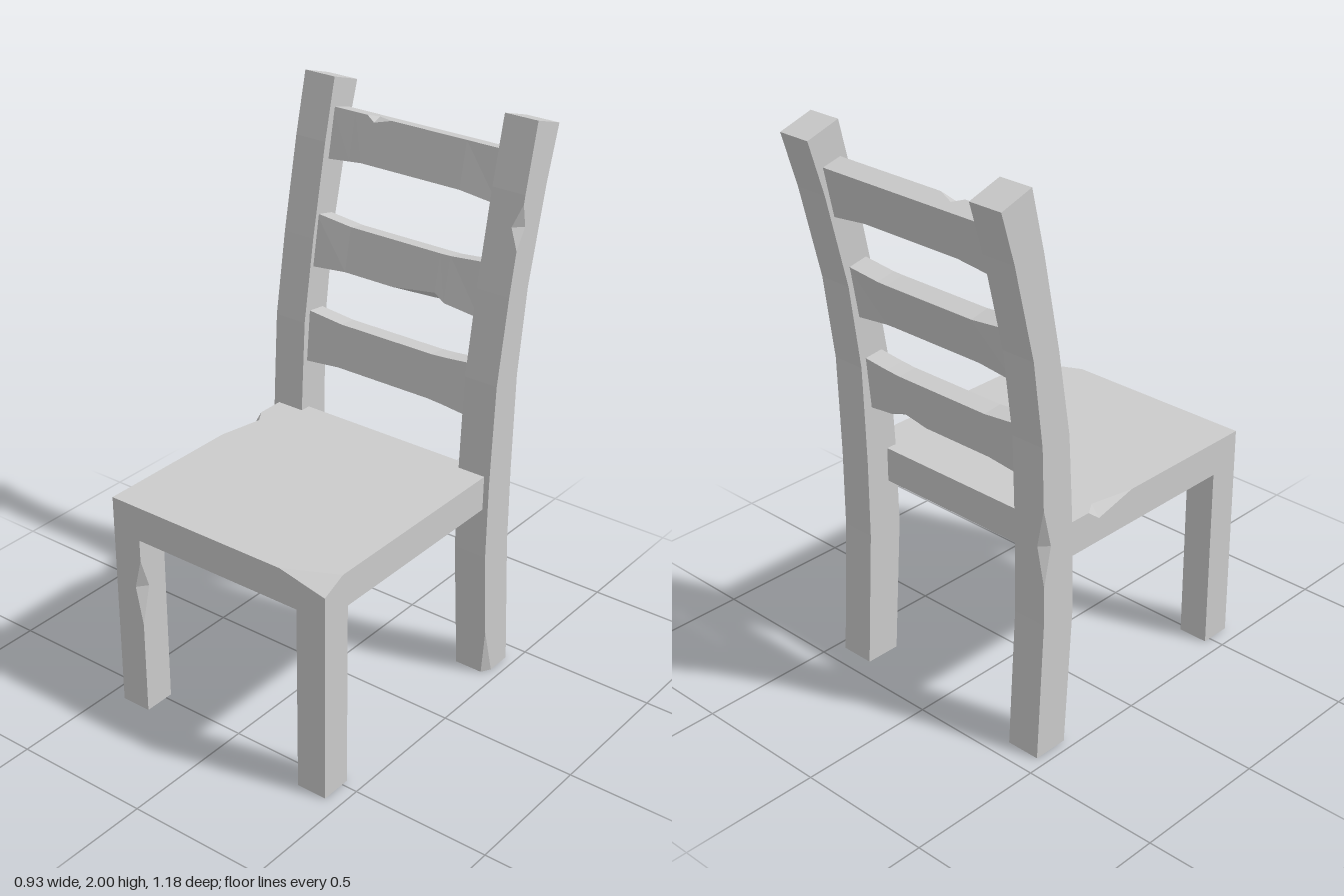
import * as THREE from 'three';

const V = (x, y, z) => new THREE.Vector3(x, y, z);

// Skin a row of equal-length rings into a closed, flat-shaded solid facing outward.
function loft(name, rings) {
  const n = rings[0].length, tris = [];
  const add = (a, b, c) => {
    const area = b.clone().sub(a).cross(c.clone().sub(a)).length();
    if (area > 1e-7) tris.push([a, b, c]);
  };
  for (let r = 0; r < rings.length - 1; r++) {
    for (let i = 0; i < n; i++) {
      const j = (i + 1) % n, p = rings[r], q = rings[r + 1];
      add(p[i], p[j], q[j]);
      add(p[i], q[j], q[i]);
    }
  }
  const first = rings[0], last = rings[rings.length - 1];
  for (let i = 1; i < n - 1; i++) {
    add(first[0], first[i + 1], first[i]);
    add(last[0], last[i], last[i + 1]);
  }
  const centre = first[0];
  const volume = tris.reduce((s, [a, b, c]) => s + a.clone().sub(centre)
    .dot(b.clone().sub(centre).cross(c.clone().sub(centre))), 0);
  const points = tris.flatMap(([a, b, c]) => (volume < 0 ? [a, c, b] : [a, b, c]));
  const geometry = new THREE.BufferGeometry().setFromPoints(points);
  geometry.computeVertexNormals();
  const mesh = new THREE.Mesh(geometry,
    new THREE.MeshStandardMaterial({ color: 0xcccccc, flatShading: true }));
  mesh.name = name;
  return mesh;
}

// Split corner i in two, sliding the copies toward its neighbours: a chipped edge.
function chip(ring, i, toPrev = 0, toNext = 0) {
  const n = ring.length, c = ring[i];
  const slide = (target, d) => c.clone().add(target.clone().sub(c).setLength(d));
  return [...ring.slice(0, i), slide(ring[(i + n - 1) % n], toPrev),
    slide(ring[(i + 1) % n], toNext), ...ring.slice(i + 1)];
}

// Piecewise-linear lookup of [key, value] pairs.
function along(keys, t) {
  let i = 0;
  while (i < keys.length - 2 && t > keys[i + 1][0]) i++;
  const [a, b] = [keys[i], keys[i + 1]];
  return a[1] + (b[1] - a[1]) * (t - a[0]) / (b[0] - a[0]);
}

// Bent back posts, running from the floor to the top of the backrest
const postFront = [[0, -0.3], [0.5, -0.265], [0.8, -0.27], [1.14, -0.29], [1.44, -0.34], [1.77, -0.407], [2, -0.462]];
const postBack = [[0, -0.43], [0.5, -0.4], [0.8, -0.4], [1.14, -0.41], [1.44, -0.45], [1.77, -0.53], [1.96, -0.588]];

function backPost(name, side, top, cuts) {
  const levels = [0, 0.18, 0.5, 0.64, 0.78, 0.92, 1.14, 1.44, 1.59, 1.66, 1.74, 1.77, top];
  const inner = 0.338 * side, outer = 0.463 * side;
  return loft(name, levels.map((y) => {
    const yb = y === top ? top - 0.04 : y;
    const zf = along(postFront, y), zb = along(postBack, yb);
    const ring = [V(inner, y, zf), V(outer, y, zf), V(outer, yb, zb), V(inner, yb, zb)];
    const cut = cuts[y] || [0, 0];
    return chip(ring, side > 0 ? 1 : 2, cut[0], cut[1]);
  }));
}

// Front legs
function frontLeg(name, side, cuts) {
  return loft(name, [0, 0.35, 0.49, 0.6, 0.68].map((y) => {
    const ring = [V(0.33 * side, y, 0.475), V(0.33 * side, y, 0.59),
      V(0.442 * side, y, 0.59), V(0.442 * side, y, 0.475)];
    const cut = cuts[y] || [0, 0];
    return chip(ring, 1, cut[0], cut[1]);
  }));
}

// Backrest slats: a leaning section, slightly pinched between its ends
function slat(name, section, flare, corner, stations) {
  return loft(name, stations.map(([x, toPrev = 0, toNext = 0]) => {
    const f = Math.max(0, (Math.abs(x) - 0.2) / 0.14);
    const ring = section.map(([y, z], i) => V(x, y + f * (i === 0 || i === 3 ? flare : -0.015), z));
    return chip(ring, corner, toPrev, toNext);
  }));
}

export function createModel() {
  const chair = new THREE.Group();
  chair.name = 'chair';

  // Seat slab with a chipped side edge and a broken front corner
  const seatCuts = {
    '-0.12': { side: [0.04, 0.032] },
    '0.59': { corner: [0.18, 0.04] },
  };
  chair.add(loft('seat', [-0.31, -0.17, -0.12, 0.04, 0.5, 0.59].map((z) => {
    const { side = [0, 0], corner = [0, 0] } = seatCuts[z] || {};
    const ring = [V(-0.442, 0.68, z), V(-0.442, 0.805, z), V(0.442, 0.805, z), V(0.442, 0.68, z)];
    return chip(chip(ring, 2, ...corner), 1, ...side);
  })));

  chair.add(
    frontLeg('leftFrontLeg', 1, {}),
    frontLeg('rightFrontLeg', -1, { 0.49: [0.035, 0.028] }),
    backPost('leftBackPost', 1, 2, { 0: [0.02, 0.035], 1.66: [0.032, 0.03] }),
    backPost('rightBackPost', -1, 1.985, { 0.78: [0.03, 0.03] }),
  );

  // Sections run front top, front bottom, back bottom, back top
  chair.add(
    slat('topSlat', [[1.88, -0.46], [1.72, -0.425], [1.705, -0.495], [1.862, -0.532]], 0, 0,
      [[-0.35], [-0.25], [-0.2], [-0.17, 0.03, 0.02], [-0.1], [0.2], [0.35]]),
    slat('middleSlat', [[1.507, -0.372], [1.352, -0.34], [1.337, -0.41], [1.492, -0.442]], 0.014, 1,
      [[-0.35], [-0.2], [0], [0.17, 0.024, 0.035], [0.21], [0.35]]),
    slat('lowerSlat', [[1.163, -0.32], [1.005, -0.302], [0.997, -0.372], [1.155, -0.39]], 0.014, 2,
      [[-0.35], [-0.2], [0.08], [0.18, 0.03, 0.02], [0.24], [0.35]]),
  );
  return chair;
}
